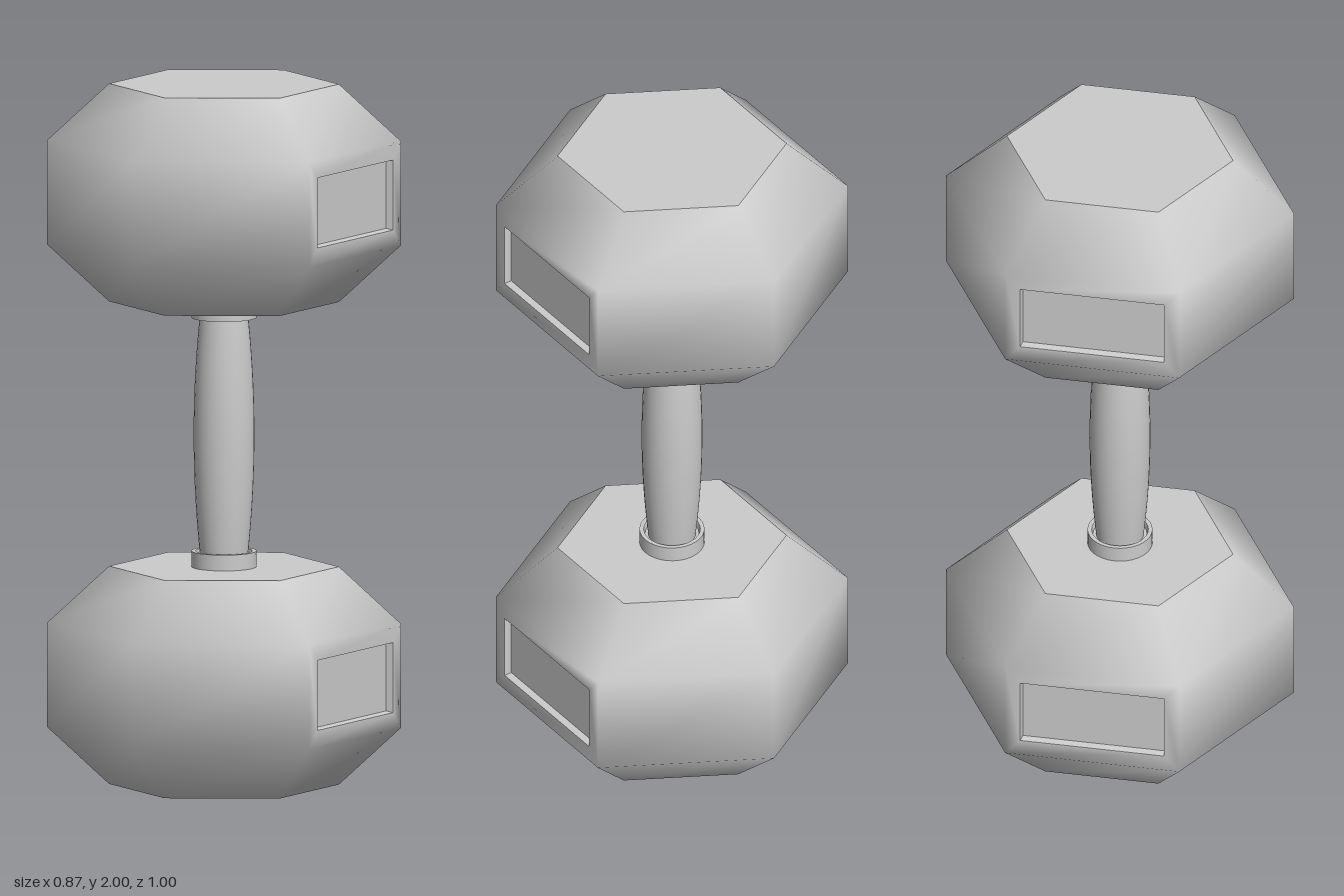
import * as THREE from 'three';

const material = new THREE.MeshStandardMaterial({ color: 0xcccccc });

function mesh(name, geometry) {
  const m = new THREE.Mesh(geometry, material);
  m.name = name;
  return m;
}

// Collects quads: shared corner objects give smooth normals, flat ones are split
function quadsToGeometry(quads, smooth) {
  const points = [], index = [];
  const id = (p) => {
    let i = points.indexOf(p);
    if (i < 0) i = points.push(p) - 1;
    return i;
  };
  for (const q of quads) {
    const [a, b, c, d] = q.map(id);
    index.push(a, b, c, a, c, d);
  }
  let g = new THREE.BufferGeometry().setFromPoints(points);
  g.setIndex(index);
  if (!smooth) g = g.toNonIndexed();
  g.computeVertexNormals();
  return g;
}

// Band of four quads between two four-cornered outlines
const frame = (outer, inner) => outer.map((p, k) => {
  const n = (k + 1) % 4;
  return [p, outer[n], inner[n], inner[k]];
});

// Hexagonal weight with chamfered ends and a recessed plate on both x sides
function createHead(name, y) {
  const levels = [[-0.311, 0.325], [-0.149, 0.5], [0.149, 0.5], [0.311, 0.325]];
  const rings = levels.map(([h, r]) => Array.from({ length: 6 }, (_, i) => {
    const a = i * Math.PI / 3;
    return new THREE.Vector3(r * Math.sin(a), h, r * Math.cos(a));
  }));
  const shell = [], plates = [];
  for (let l = 0; l < 3; l++) {
    for (let i = 0; i < 6; i++) {
      const n = (i + 1) % 6;
      const face = [rings[l][i], rings[l][n], rings[l + 1][n], rings[l + 1][i]];
      if (l === 1 && i % 3 === 1) {
        const rim = face.map((p) => new THREE.Vector3(p.x, Math.sign(p.y) * 0.1, Math.sign(p.z) * 0.207));
        const floor = rim.map((p) => new THREE.Vector3(p.x - Math.sign(p.x) * 0.02, p.y * 0.96, p.z * 0.98));
        shell.push(...frame(face, rim));
        plates.push(...frame(rim, floor), floor);
      } else shell.push(face);
    }
  }
  // Flat hexagonal ends
  const [t, b] = [rings[3], rings[0]];
  const caps = [
    [t[0], t[1], t[2], t[3]], [t[0], t[3], t[4], t[5]],
    [b[3], b[2], b[1], b[0]], [b[5], b[4], b[3], b[0]],
  ];
  const head = new THREE.Group();
  head.name = name;
  head.position.y = y;
  head.add(
    mesh('headSides', quadsToGeometry(shell, true)),
    mesh('headEnds', quadsToGeometry(caps, false)),
    mesh('recessedPlates', quadsToGeometry(plates, false)),
  );
  return head;
}

// Collar with a shallow dished end; doubled profile points keep its edges sharp
function createCollar(name, flip) {
  const profile = [[0.092, 0], [0.092, 0.045], [0.092, 0.045], [0.08, 0.045],
    [0.08, 0.045], [0.076, 0.03], [0.076, 0.03], [0.05, 0.03]];
  const group = new THREE.Group();
  group.name = name;
  for (let i = 0; i < profile.length - 1; i++) {
    const [p, q] = [profile[i], profile[i + 1]];
    if (p[0] === q[0] && p[1] === q[1]) continue;
    const pts = [p, q].map(([r, h]) => new THREE.Vector2(r, h));
    group.add(mesh('collarBand', new THREE.LatheGeometry(pts, 32)));
  }
  group.position.y = flip ? 1.378 : 0.622;
  if (flip) group.rotation.x = Math.PI;
  return group;
}

export function createModel() {
  const model = new THREE.Group();
  model.name = 'dumbbell';
  model.add(createHead('lowerHead', 0.311), createHead('upperHead', 1.689));
  model.add(createCollar('lowerCollar', false), createCollar('upperCollar', true));

  // Grip swelling towards its middle
  const grip = Array.from({ length: 17 }, (_, i) => {
    const t = i / 8 - 1;
    return new THREE.Vector2(0.086 - 0.021 * t * t, 1 + t * 0.37);
  });
  model.add(mesh('handle', new THREE.LatheGeometry(grip, 32)));
  return model;
}
